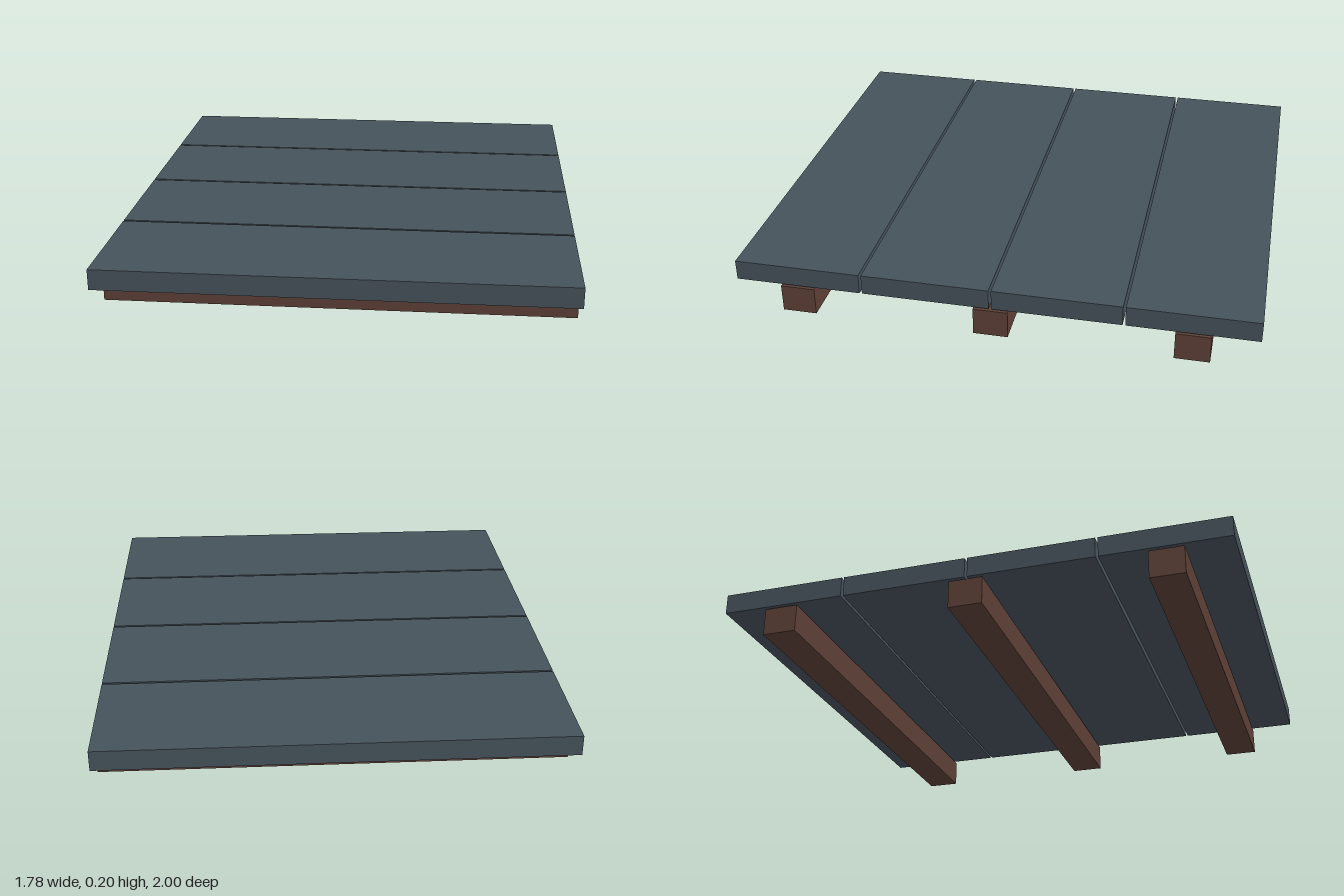
import * as THREE from 'three';

const LENGTH = 1.78;

export function createModel() {
  const group = new THREE.Group();
  const slate = new THREE.MeshStandardMaterial({ color: 0x46525b });
  const brown = new THREE.MeshStandardMaterial({ color: 0x5d4037 });

  // A bar running along x, standing on the height y
  const addBar = (name, material, height, depth, y, z) => {
    const bar = new THREE.Mesh(new THREE.BoxGeometry(LENGTH, height, depth), material);
    bar.name = name;
    bar.position.set(0, y + height / 2, z);
    group.add(bar);
  };

  // Four deck planks with narrow gaps between them
  const plankDepth = 0.4925, gap = 0.01;
  for (let i = 0; i < 4; i++) {
    addBar(`deckPlank${i + 1}`, slate, 0.08, plankDepth, 0.12, (i - 1.5) * (plankDepth + gap));
  }

  // Three support beams just below the deck
  ['backBeam', 'middleBeam', 'frontBeam'].forEach((name, i) => {
    addBar(name, brown, 0.11, 0.133, 0, (i - 1) * 0.757);
  });

  return group;
}
